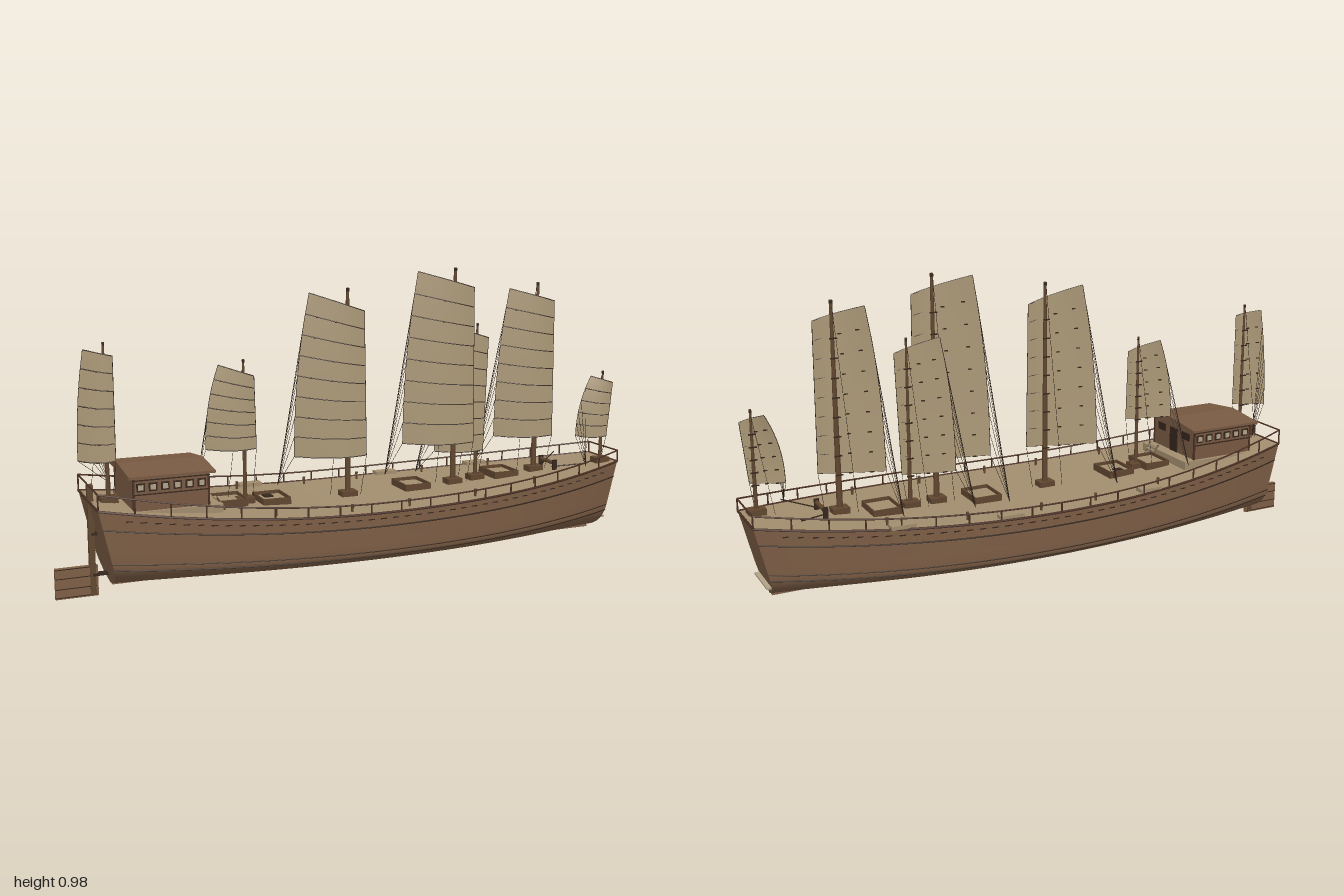
import * as THREE from 'three';

const mat = (name, color, side = THREE.FrontSide) => {
  const m = new THREE.MeshStandardMaterial({ color, side });
  m.name = name;
  return m;
};

export function createModel() {
  const root = new THREE.Group();
  root.name = 'sailingJunk';
  const hullMat = mat('hull wood', 0x7e5f46), deckMat = mat('deck planks', 0xa28d6e);
  const sailMat = mat('sail cloth', 0xaa9776, THREE.DoubleSide), darkMat = mat('dark timber', 0x35261c);
  const mastMat = mat('mast wood', 0x60462f), cabinMat = mat('cabin wood', 0x785941);
  const ropeMat = mat('rope', 0x2a2019), paleMat = mat('pale wood', 0xb0a288), railMat = mat('rail wood', 0x4c3024);

  const add = (parent, name, geo, m, x = 0, y = 0, z = 0) => {
    const mesh = new THREE.Mesh(geo, m);
    mesh.name = name;
    mesh.position.set(x, y, z);
    parent.add(mesh);
    return mesh;
  };
  const group = (name, parent = root) => {
    const g = new THREE.Group();
    g.name = name;
    parent.add(g);
    return g;
  };
  const box = (p, name, m, w, h, d, x, y, z) => add(p, name, new THREE.BoxGeometry(w, h, d), m, x, y, z);
  const V = (x, y, z) => new THREE.Vector3(x, y, z);
  // straight round bar between two points
  const bar = (p, name, m, a, b, r, r2 = r, sides = 5) => {
    const d = b.clone().sub(a);
    const mesh = add(p, name, new THREE.CylinderGeometry(r2, r, d.length(), sides), m);
    mesh.position.copy(a).add(b).multiplyScalar(0.5);
    mesh.quaternion.setFromUnitVectors(V(0, 1, 0), d.normalize());
    return mesh;
  };
  const tube = (p, name, m, pts, r, n = 40, sides = 5) =>
    add(p, name, new THREE.TubeGeometry(new THREE.CatmullRomCurve3(pts), n, r, sides), m);
  // surface swept over two parameters 0..1
  const grid = (nu, nv, fn) => {
    const pos = [], idx = [];
    for (let j = 0; j <= nv; j++) for (let i = 0; i <= nu; i++) pos.push(...fn(i / nu, j / nv).toArray());
    for (let j = 0; j < nv; j++) for (let i = 0; i < nu; i++) {
      const a = j * (nu + 1) + i, c = a + nu + 1;
      idx.push(a, a + 1, c, a + 1, c + 1, c);
    }
    const g = new THREE.BufferGeometry();
    g.setAttribute('position', new THREE.Float32BufferAttribute(pos, 3));
    g.setIndex(idx);
    g.computeVertexNormals();
    return g;
  };

  // hull shape: plan width, sheer line and one half section
  const topX = t => -0.89 + 1.88 * t;
  const width = x => x > 0.03 ? 0.26 - 0.17 * ((x - 0.03) / 0.96) ** 2.2 : 0.26 - 0.11 * ((0.03 - x) / 0.92) ** 2;
  const sheer = x => 0.238 + (x < 0 ? 0.067 * (x / 0.89) ** 2 : 0.048 * (x / 0.99) ** 2);
  const section = new THREE.SplineCurve([[0, 0], [0.45, 0.065], [0.78, 0.16], [0.94, 0.27], [0.98, 0.38], [0.99, 0.62], [1, 1]]
    .map(p => new THREE.Vector2(...p)));
  const hullPt = (t, v, side = 1) => {
    const s = section.getPoint(v), x = topX(t);
    return V(THREE.MathUtils.lerp(-0.83 + 1.76 * t, x, s.y), 0.038 + (sheer(x) - 0.038) * s.y, width(x) * s.x * side);
  };
  const hull = group('hull');
  add(hull, 'hullShell', grid(48, 48, (u, w) => hullPt(u, Math.abs(w * 2 - 1), w < 0.5 ? -1 : 1)), hullMat);
  add(hull, 'bowTransom', grid(2, 24, (u, v) => hullPt(1, v, 1 - 2 * u)), hullMat);
  add(hull, 'sternTransom', grid(2, 24, (u, v) => hullPt(0, v, 2 * u - 1)), hullMat);
  add(hull, 'deck', grid(2, 48, (u, v) => hullPt(v, 1, 2 * u - 1)), deckMat);
  box(hull, 'keel', hullMat, 1.75, 0.008, 0.016, 0.05, 0.036, 0);
  box(hull, 'bowBar', paleMat, 0.02, 0.006, 0.14, 0.946, 0.082, 0);

  // wales, gunwales and rails on both sides
  const rails = group('railings');
  const railH = x => 0.032 + (x < 0 ? 0.024 : 0.008) * x * x;
  for (const s of [1, -1]) {
    const run = (fn, n = 24) => Array.from({ length: n + 1 }, (_, i) => fn(i / n));
    for (const [v, r] of [[0.54, 0.0022], [0.66, 0.0018], [0.9, 0.0025]])
      tube(hull, 'wale', darkMat, run(t => hullPt(t, v, s)), r, 48);
    tube(hull, 'gunwale', railMat, run(t => hullPt(t, 1, s)), 0.004, 48);
    tube(rails, 'handrail', railMat, run(t => hullPt(t, 1, s).add(V(0, railH(topX(t)), 0))), 0.0028, 48);
    for (let i = 0; i <= 18; i++) {
      const a = hullPt(i / 18, 1, s);
      bar(rails, 'railPost', railMat, a, a.clone().add(V(0, railH(a.x), 0)), 0.0028);
    }
    // row of short dark scuppers
    for (let i = 2; i < 44; i++) {
      const p = hullPt(i / 45, 0.95, s);
      box(hull, 'scupper', darkMat, 0.02, 0.003, 0.005, p.x, p.y, p.z);
    }
    bar(rails, 'catBoom', darkMat, V(0.75, 0.275, s * 0.03), V(0.85, 0.295, s * 0.11), 0.0022);
  }
  for (const t of [0, 1]) {
    const up = V(0, railH(topX(t)), 0);
    bar(rails, 'endRail', railMat, hullPt(t, 1, 1).add(up), hullPt(t, 1, -1).add(up), 0.0028);
    bar(hull, 'endGunwale', railMat, hullPt(t, 1, 1), hullPt(t, 1, -1), 0.004);
  }
  for (const [x, z] of [[-0.295, -0.228], [0.22, -0.237], [0.565, -0.2]])
    box(root, 'sideLocker', deckMat, 0.08, 0.012, 0.034, x, sheer(x) + 0.008, z);

  // rudder with battens
  const rudder = group('rudder');
  box(rudder, 'rudderPost', mastMat, 0.018, 0.35, 0.02, -0.884, 0.18, 0);
  box(rudder, 'rudderBlade', hullMat, 0.132, 0.097, 0.014, -0.934, 0.0515, 0);
  for (const y of [0.008, 0.035, 0.068, 0.097]) box(rudder, 'rudderBatten', darkMat, 0.128, 0.0025, 0.017, -0.936, y, 0);
  for (const y of [0.07, 0.2]) box(rudder, 'rudderHinge', darkMat, 0.05, 0.008, 0.022, -0.86, y, 0);

  // stern cabin
  const cabin = group('cabin');
  box(cabin, 'cabinBody', cabinMat, 0.235, 0.13, 0.25, -0.66, 0.328, 0);
  box(cabin, 'cabinPlatform', deckMat, 0.29, 0.03, 0.27, -0.645, 0.272, 0);
  const gable = new THREE.Shape([[-0.145, 0], [0.145, 0], [0.145, 0.008], [0, 0.024], [-0.145, 0.008]].map(p => new THREE.Vector2(...p)));
  const roof = add(cabin, 'cabinRoof', new THREE.ExtrudeGeometry(gable, { depth: 0.27, bevelEnabled: false }), cabinMat, -0.795, 0.39, 0);
  roof.rotation.y = Math.PI / 2;
  for (const s of [1, -1]) {
    for (let i = 0; i < 6; i++) {
      const x = -0.755 + i * 0.038;
      box(cabin, 'window', darkMat, 0.026, 0.026, 0.004, x, 0.36, s * 0.126);
      box(cabin, 'windowPane', paleMat, 0.016, 0.016, 0.003, x, 0.36, s * 0.128);
    }
    for (const y of [0.338, 0.382]) box(cabin, 'wallTrim', darkMat, 0.24, 0.003, 0.006, -0.66, y, s * 0.127);
    for (const x of [-0.777, -0.543]) box(cabin, 'cornerPost', railMat, 0.006, 0.13, 0.006, x, 0.328, s * 0.125);
  }
  box(cabin, 'door', darkMat, 0.004, 0.085, 0.045, -0.541, 0.33, 0);
  for (const z of [-0.075, 0.075]) box(cabin, 'frontWindow', darkMat, 0.004, 0.026, 0.045, -0.541, 0.36, z);
  for (const z of [0.05, 0.1]) bar(cabin, 'ladderSide', mastMat, V(-0.51, 0.3, z), V(-0.48, 0.25, z), 0.003);
  for (let i = 0; i < 3; i++) box(cabin, 'ladderStep', deckMat, 0.01, 0.004, 0.05, -0.505 + i * 0.009, 0.292 - i * 0.014, 0.075);

  // hatches with raised coamings
  for (const [x, z] of [[-0.44, 0], [-0.295, 0], [0.22, -0.02], [0.565, -0.02]]) {
    const h = group('hatch'), y = sheer(x) + 0.01;
    for (const s of [1, -1]) {
      box(h, 'hatchSide', mastMat, 0.094, 0.024, 0.004, x, y, z + s * 0.055);
      box(h, 'hatchEnd', mastMat, 0.004, 0.024, 0.11, x + s * 0.045, y, z);
    }
    box(h, 'hatchCover', deckMat, 0.088, 0.01, 0.108, x, y - 0.004, z);
  }
  box(root, 'grating', darkMat, 0.03, 0.004, 0.035, -0.3, sheer(-0.3) + 0.013, -0.025);

  // windlass and bollards
  const wind = group('windlass');
  bar(wind, 'windlassDrum', mastMat, V(0.755, 0.29, -0.045), V(0.755, 0.29, 0.045), 0.007, 0.007, 10);
  for (const z of [-0.045, 0.045]) box(wind, 'windlassCheek', darkMat, 0.016, 0.036, 0.006, 0.755, 0.284, z);
  for (const x of [-0.35, -0.1, 0.1, 0.35, 0.6]) for (const s of [1, -1])
    add(root, 'bollard', new THREE.CylinderGeometry(0.005, 0.004, 0.026, 8), mastMat, x, sheer(x) + 0.012, s * (width(x) - 0.045));

  // masts with battened sails: mast x, z, top; foot left/right/y; head left x/y, right x/y; panels; sheet anchor
  const rigs = [
    ['sternRig', -0.827, 0, 0.79, -0.91, -0.803, 0.425, -0.885, 0.767, -0.803, 0.748, 6, [-0.8, 0.33, -0.11]],
    ['aftRig', -0.385, 0, 0.715, -0.505, -0.35, 0.428, -0.462, 0.698, -0.355, 0.662, 6, [-0.505, 0.28, -0.15]],
    ['middleRig', -0.025, 0, 0.93, -0.198, 0.032, 0.376, -0.148, 0.915, 0.024, 0.855, 8, [-0.22, 0.26, -0.15]],
    ['mainRig', 0.37, 0, 0.987, 0.198, 0.435, 0.389, 0.245, 0.975, 0.43, 0.92, 8, [0.18, 0.26, -0.15]],
    ['smallRig', 0.465, -0.012, 0.795, 0.318, 0.485, 0.353, 0.36, 0.79, 0.5, 0.745, 7, [0.3, 0.26, -0.15]],
    ['foreRig', 0.695, 0, 0.93, 0.555, 0.752, 0.389, 0.6, 0.908, 0.748, 0.865, 8, [0.54, 0.27, -0.15]],
    ['bowRig', 0.943, 0.05, 0.612, 0.855, 0.955, 0.378, 0.906, 0.592, 0.975, 0.57, 5, [0.84, 0.285, 0.115]],
  ];
  for (const [name, mx, mz, top, x0, x1, y0, hx0, hy0, hx1, hy1, n, anchor] of rigs) {
    const g = group(name), big = top > 0.85, lerp = THREE.MathUtils.lerp, r = big ? 0.01 : 0.007;
    const k = big ? 1 : 0.65, foot = sheer(mx);
    const sailPt = (u, v) => V(
      lerp(lerp(x0, hx0, v ** 2.2), lerp(x1, hx1, v), u),
      lerp(lerp(y0, hy0, v), lerp(y0, hy1, v), u) - 0.005 * Math.sin(Math.PI * u) * (1 - v),
      mz + k * (-0.045 + 0.015 * v * (1 - u) + 0.07 * Math.sin(u * Math.PI / 2)));
    bar(g, 'mast', mastMat, V(mx, foot, mz), V(mx, top, mz), r, r * 0.5, 10);
    add(g, 'mastCap', new THREE.CylinderGeometry(r * 0.6, r * 0.6, 0.01, 8), darkMat, mx, top - 0.006, mz);
    box(g, 'mastStep', mastMat, 0.055, 0.02, 0.042, mx, foot + 0.008, mz);
    add(g, 'sail', grid(10, n * 2, sailPt), sailMat);
    for (let i = 0; i <= n; i++) {
      const v = i / n, row = [0, 0.25, 0.5, 0.75, 1].map(u => sailPt(u, v));
      // battens lie on the fore face only
      tube(g, 'batten', darkMat, row.map(p => p.clone().add(V(-0.0004, 0, 0.0017))), 0.0017, 20);
      if (i < n) {
        for (const u of [0.2, 0.5]) {
          const p = sailPt(u, v);
          box(g, 'battenTie', darkMat, 0.012, 0.0035, 0.004, p.x, p.y, p.z - 0.002);
        }
        box(g, 'parrel', darkMat, 0.024, 0.004, 0.004, mx, sailPt(0.75, v).y, mz - r);
        bar(g, 'sheetLine', ropeMat, row[0], V(...anchor), 0.0008, 0.0008, 3);
      }
    }
    for (const u of [0, 1]) tube(g, 'boltRope', ropeMat, [0, 0.25, 0.5, 0.75, 1].map(v => sailPt(u, v)), 0.001, 14, 4);
    bar(g, 'halyard', ropeMat, V(mx, top - 0.02, mz - r), V(mx - 0.05, foot, mz - 0.03), 0.0008, 0.0008, 3);
    bar(g, 'tackLine', ropeMat, sailPt(1, 0), V(x1 - 0.01, sheer(x1), mz), 0.0008, 0.0008, 3);
  }
  return root;
}
